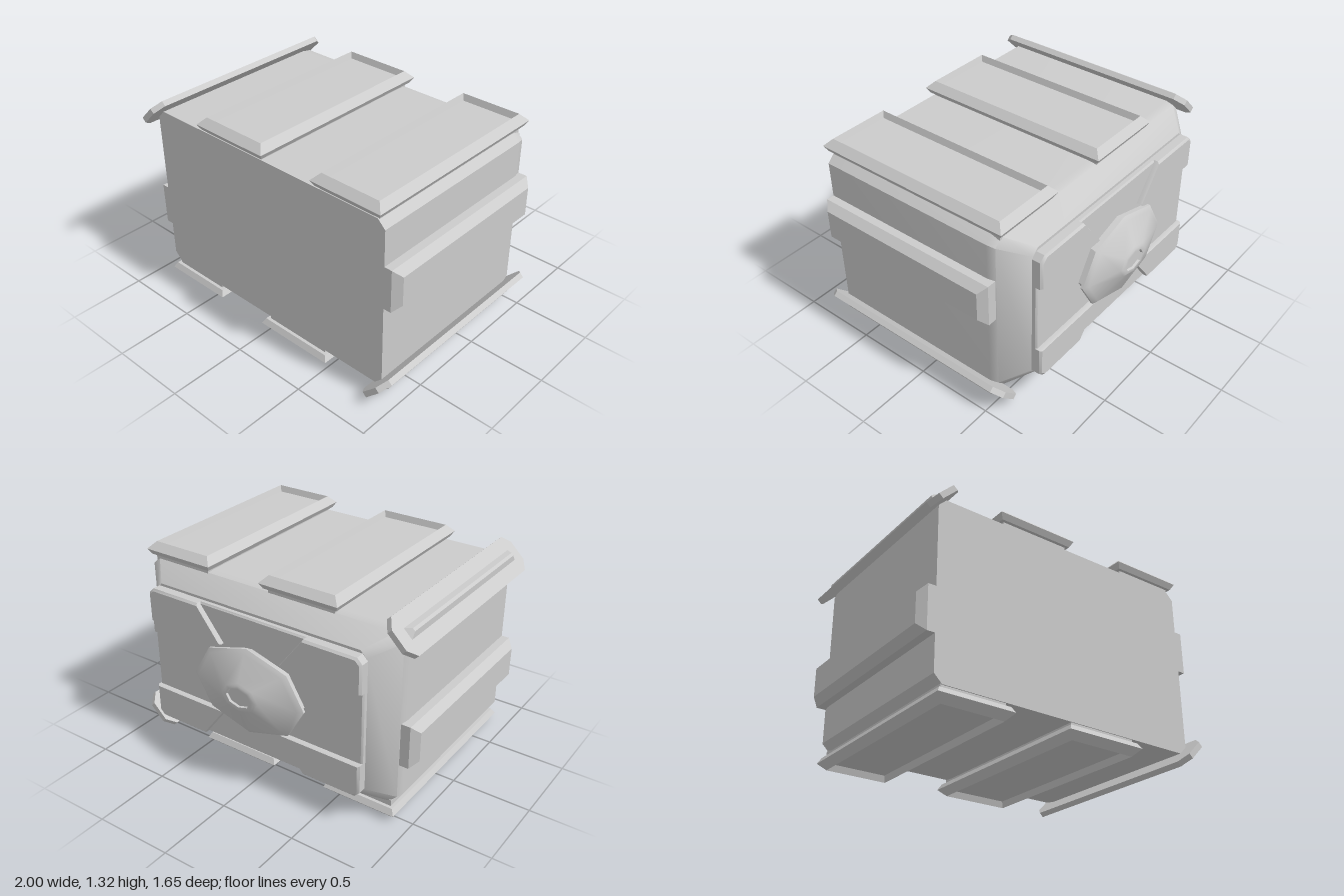
import * as THREE from 'three';
import { toCreasedNormals } from 'three/addons/utils/BufferGeometryUtils.js';

const MID = 0.66; // height of the model's axis
const material = new THREE.MeshStandardMaterial({ color: 0xcccccc });

// Rectangle outline, optionally with cut corners
function rect(w, h, c = 0) {
  if (!c) return [[w, -h], [w, h], [-w, h], [-w, -h]];
  return [[w - c, -h], [w, c - h], [w, h - c], [w - c, h],
    [c - w, h], [-w, h - c], [-w, c - h], [c - w, -h]];
}

// Eight-sided oval outline
function oval(w, h) {
  return Array.from({ length: 8 }, (_, i) =>
    [w * Math.cos(i * Math.PI / 4), h * Math.sin(i * Math.PI / 4)]);
}

// Joins convex outlines stacked along z, closed at both ends
function loft(name, layers) {
  const pos = [];
  const n = layers[0][0].length;
  const point = (k, i) => [...layers[k][0][i % n], layers[k][1]];
  const tri = (a, b, c) => pos.push(...a, ...b, ...c);
  for (let k = 0; k < layers.length - 1; k++) {
    for (let i = 0; i < n; i++) {
      const a = point(k, i), b = point(k, i + 1), c = point(k + 1, i + 1), d = point(k + 1, i);
      tri(a, b, c);
      tri(a, c, d);
    }
  }
  const end = layers.length - 1;
  for (let i = 1; i < n - 1; i++) {
    tri(point(0, 0), point(0, i + 1), point(0, i));
    tri(point(end, 0), point(end, i), point(end, i + 1));
  }
  const geo = new THREE.BufferGeometry();
  geo.setAttribute('position', new THREE.Float32BufferAttribute(pos, 3));
  const mesh = new THREE.Mesh(toCreasedNormals(geo, 0.7), material);
  mesh.name = name;
  return mesh;
}

// Raised tray with a bevelled rim and a shallow sunken floor
function tray(x, w) {
  const l = 0.667;
  const mesh = loft('tray', [
    [rect(w - 0.04, l - 0.04), 1.2], [rect(w - 0.04, l - 0.04), 1.24],
    [rect(w - 0.02, l - 0.02), 1.24], [rect(w, l), 1.275],
    [rect(w - 0.045, l - 0.045), 1.32], [rect(w - 0.06, l - 0.06), 1.28],
  ]);
  mesh.rotation.x = -Math.PI / 2;
  mesh.position.set(x, 0, 0.107);
  return mesh;
}

// Bevelled bar along the side wall
function sideBar() {
  const mesh = loft('sideBar', [
    [rect(0.625, 0.1385), 0.88], [rect(0.625, 0.1385), 0.955], [rect(0.58, 0.0935), 1.0],
  ]);
  mesh.rotation.y = Math.PI / 2;
  mesh.position.set(0, 0.802, 0.115);
  return mesh;
}

// Slanted corner plate with a narrow rib
function cornerRail() {
  const rail = new THREE.Group();
  rail.name = 'cornerRail';
  const parts = [
    loft('cornerPlate', [[rect(0.7125, 0.1255, 0.06), -0.018], [rect(0.7125, 0.1255, 0.06), 0.018]]),
    loft('cornerRib', [[rect(0.625, 0.038), 0.017], [rect(0.597, 0.01), 0.045]]),
  ];
  for (const part of parts) {
    part.rotation.y = Math.PI / 2;
    rail.add(part);
  }
  rail.rotation.z = -Math.PI / 4;
  rail.position.set(0.898, 0.109, 0.1125);
  return rail;
}

// Raised corner block of the back panel, with a slanted inner end
function panelBlock(sx, sy) {
  const place = (pts) => {
    const out = pts.map(([x, y]) => [x * sx, y * sy]);
    return sx * sy < 0 ? out.reverse() : out;
  };
  const base = place([[0.21, 0.23], [0.76, 0.23], [0.76, 0.415], [0.725, 0.45], [0.38, 0.45]]);
  const face = place([[0.22, 0.235], [0.747, 0.235], [0.747, 0.408], [0.718, 0.437], [0.375, 0.437]]);
  return loft('panelBlock', [[base, 0.67], [base, 0.705], [face, 0.718]]);
}

export function createModel() {
  const model = new THREE.Group();
  model.name = 'container';

  // Main body and back assembly, built facing backwards
  const shell = new THREE.Group();
  shell.name = 'shell';
  const section = rect(0.905, 0.5585, 0.05);
  shell.add(loft('body', [
    [section, -0.74], [section, 0.46], [rect(0.894, 0.553, 0.05), 0.515],
    [rect(0.75, 0.465, 0.04), 0.65],
  ]));
  shell.add(loft('backPanel', [
    [rect(0.76, 0.45, 0.035), 0.652], [rect(0.76, 0.45, 0.035), 0.675],
    [rect(0.75, 0.44, 0.03), 0.685],
  ]));
  shell.add(loft('panelSpacer', [[rect(0.72, 0.43), 0.64], [rect(0.72, 0.43), 0.66]]));
  for (const sx of [1, -1]) for (const sy of [1, -1]) shell.add(panelBlock(sx, sy));
  shell.add(loft('hub', [
    [oval(0.37, 0.26), 0.67], [oval(0.37, 0.26), 0.72], [oval(0.4, 0.2825), 0.72],
    [oval(0.4, 0.2825), 0.735], [oval(0.365, 0.258), 0.755], [oval(0.135, 0.095), 0.817],
    [oval(0.12, 0.083), 0.826], [oval(0.09, 0.062), 0.826], [oval(0.085, 0.058), 0.812],
  ]));
  shell.rotation.y = Math.PI;
  shell.position.y = MID + 0.002;
  model.add(shell);

  // Fittings, repeated by a half turn about the long axis
  for (const turned of [false, true]) {
    const fittings = new THREE.Group();
    fittings.name = turned ? 'lowerFittings' : 'upperFittings';
    fittings.add(tray(-0.23, 0.27), tray(0.655, 0.245), sideBar(), cornerRail());
    if (turned) {
      fittings.rotation.z = Math.PI;
      fittings.position.y = 2 * MID;
    }
    model.add(fittings);
  }
  return model;
}
